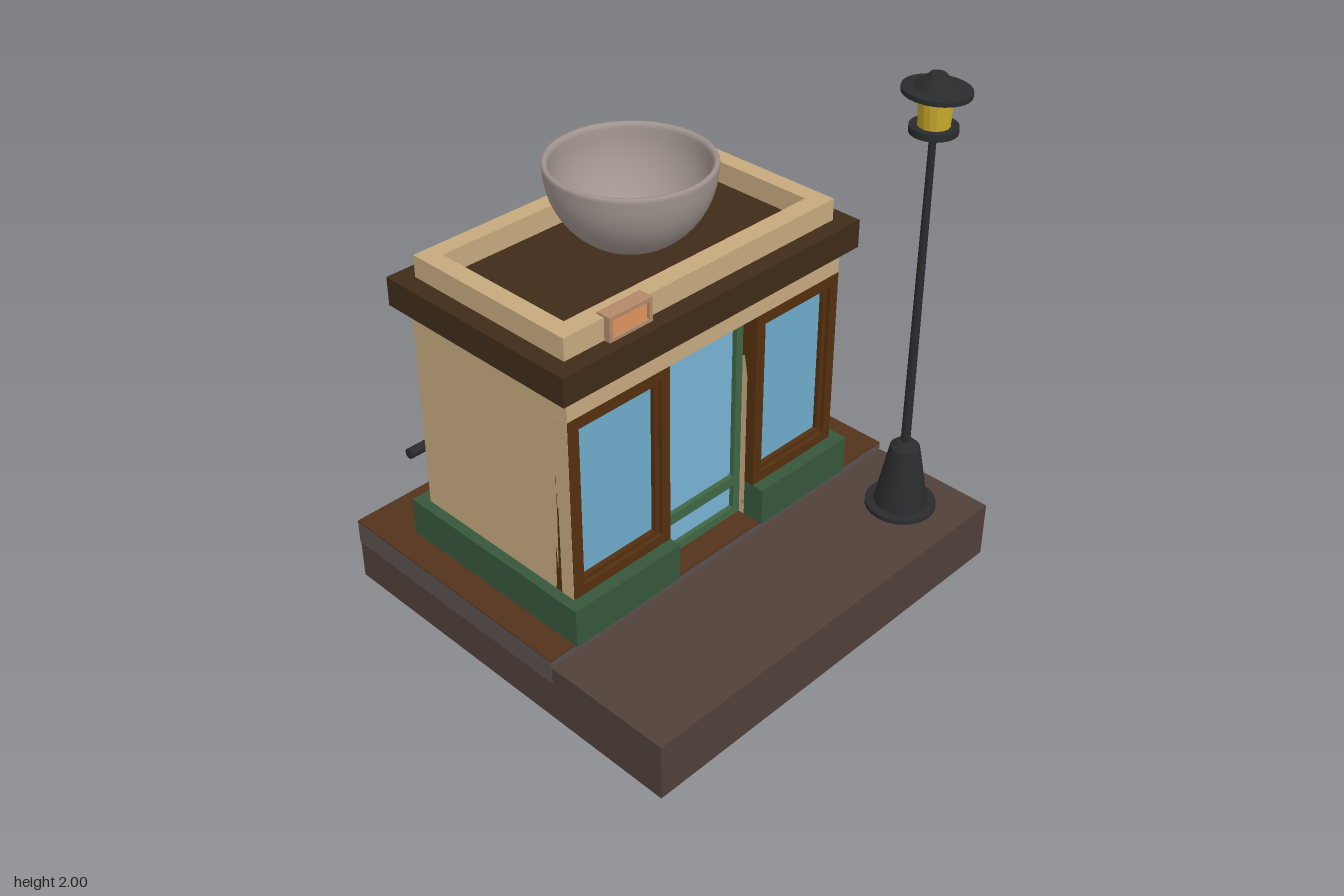
import * as THREE from 'three';

const mat = (color, extra = {}) => new THREE.MeshStandardMaterial({ color, ...extra });
const M = {
  base: mat(0x50403a), slab: mat(0x5a504e), earth: mat(0x54341c),
  wall: mat(0xc6aa7e), cornice: mat(0x3f2b18), plinth: mat(0x37573a),
  wood: mat(0x55300f), glass: mat(0x6fabca), doorGlass: mat(0x78b2d4), door: mat(0x3f6644),
  bowl: mat(0xa0948f, { side: THREE.DoubleSide }), signFrame: mat(0xb48a68), sign: mat(0xe0935c),
  iron: mat(0x2a2b2c), post: mat(0x3e4042), lamp: mat(0xc8a82a, { flatShading: true }),
};

export function createModel() {
  const root = new THREE.Group();

  const add = (name, geometry, material, parent = root) => {
    const mesh = new THREE.Mesh(geometry, material);
    mesh.name = name;
    parent.add(mesh);
    return mesh;
  };
  // Box given by its limits on each axis
  const box = (name, material, x0, x1, y0, y1, z0, z1, parent) => {
    const mesh = add(name, new THREE.BoxGeometry(x1 - x0, y1 - y0, z1 - z0), material, parent);
    mesh.position.set((x0 + x1) / 2, (y0 + y1) / 2, (z0 + z1) / 2);
    return mesh;
  };
  // Rectangular frame facing +z with a list of rectangular openings [x0, x1, y0, y1]
  const frame = (name, material, [x0, x1, y0, y1], holes, z0, z1, parent) => {
    const rect = (P, a, b, c, d) =>
      new P().moveTo(a, c).lineTo(b, c).lineTo(b, d).lineTo(a, d).closePath();
    const shape = rect(THREE.Shape, x0, x1, y0, y1);
    holes.forEach((h) => shape.holes.push(rect(THREE.Path, ...h)));
    const geometry = new THREE.ExtrudeGeometry(shape, { depth: z1 - z0, bevelEnabled: false });
    const mesh = add(name, geometry, material, parent);
    mesh.position.z = z0;
    return mesh;
  };
  // Lathe with hard edges: every profile point is doubled
  const turned = (name, material, points, segments, parent) => {
    const profile = [];
    points.forEach(([r, y], i) => {
      const p = new THREE.Vector2(r, y);
      profile.push(p);
      if (i > 0 && i < points.length - 1) profile.push(p.clone());
    });
    return add(name, new THREE.LatheGeometry(profile, segments), material, parent);
  };

  // Ground
  box('base', M.base, -0.878, 0.878, 0, 0.23, -0.798, 0.8);
  box('upperSlab', M.slab, -0.88, 0.88, 0.16, 0.256, -0.8, 0.278);
  box('yard', M.earth, -0.88, 0.88, 0.256, 0.261, -0.8, 0.278);

  // Building body with a recess for the door
  const X0 = -0.73, X1 = 0.597, D0 = -0.27, D1 = 0.163;
  box('walls', M.wall, X0, X1, 0.26, 1.25, -0.535, 0.14);
  box('frontBand', M.wall, X0, X1, 1.147, 1.25, 0.13, 0.24);
  [[X0, D0, -0.77, X0], [D1, X1, X1, 0.637]].forEach(([a, b]) =>
    box('frontWall', M.wall, a, b, 0.26, 1.15, 0.13, 0.2));
  box('leftCorner', M.wall, X1 - 0.008, X1 + 0.001, 0.4, 1.15, 0.18, 0.239);
  box('rightCorner', M.wall, X0 - 0.001, X0 + 0.008, 0.4, 1.15, 0.18, 0.239);

  // Plinth, open in front of the door
  box('plinthBack', M.plinth, -0.77, 0.637, 0.26, 0.415, -0.59, 0.13);
  box('plinthRight', M.plinth, -0.77, D0, 0.26, 0.415, 0.13, 0.29);
  box('plinthLeft', M.plinth, D1, 0.637, 0.26, 0.415, 0.13, 0.29);

  // Shop windows: outer frame, stepped inner frame and pane
  [[X0, D0, 'right'], [D1, X1, 'left']].forEach(([a, b, side]) => {
    const group = new THREE.Group();
    group.name = side + 'Window';
    root.add(group);
    const y0 = 0.415, y1 = 1.147;
    const inset = (d) => [a + d, b - d, y0 + d, y1 - d];
    frame('outerFrame', M.wood, inset(0), [inset(0.04)], 0.15, 0.241, group);
    frame('innerFrame', M.wood, inset(0.04), [inset(0.06)], 0.19, 0.226, group);
    const [p, q, r, s] = inset(0.05);
    box('pane', M.glass, p, q, r, s, 0.19, 0.208, group);
  });

  // Door
  frame('doorFrame', M.door, [D0, D1, 0.26, 1.147],
    [[-0.235, 0.13, 0.44, 1.117], [-0.235, 0.13, 0.295, 0.397]], 0.13, 0.175);
  box('doorPanes', M.doorGlass, -0.25, 0.145, 0.28, 1.13, 0.135, 0.155);

  // Cornice and roof parapet
  box('cornice', M.cornice, -0.78, 0.645, 1.25, 1.36, -0.592, 0.285);
  const parapet = frame('parapet', M.wall, [-0.712, 0.577, -0.217, 0.523],
    [[-0.642, 0.507, -0.143, 0.455]], 0, 0.085);
  parapet.rotation.x = -Math.PI / 2;
  parapet.position.y = 1.36;

  // Bowl on the roof
  const bowlProfile = [];
  for (let i = 0; i <= 14; i++) {
    const t = (i / 14) * Math.PI / 2;
    bowlProfile.push(new THREE.Vector2(0.3 * Math.sin(t), 1.68 - 0.31 * Math.cos(t)));
  }
  [[0.302, 1.69], [0.297, 1.698], [0.288, 1.698], [0.281, 1.69]].forEach(([r, y]) =>
    bowlProfile.push(new THREE.Vector2(r, y)));
  for (let i = 14; i >= 0; i--) {
    const t = (i / 14) * Math.PI / 2;
    bowlProfile.push(new THREE.Vector2(0.278 * Math.sin(t), 1.68 - 0.288 * Math.cos(t)));
  }
  add('bowl', new THREE.LatheGeometry(bowlProfile, 48), M.bowl).position.set(-0.057, 0, -0.155);

  // Small sign on the parapet
  frame('signFrame', M.signFrame, [-0.54, -0.35, 1.36, 1.453],
    [[-0.525, -0.365, 1.372, 1.438]], 0.185, 0.243);
  box('signPanel', M.sign, -0.53, -0.36, 1.365, 1.443, 0.188, 0.232);

  // Street lamp
  const lamp = new THREE.Group();
  lamp.name = 'streetLamp';
  lamp.position.set(0.66, 0, 0.555);
  root.add(lamp);
  turned('lampPost', M.iron, [[0, 0.229], [0.135, 0.229], [0.135, 0.247], [0.102, 0.25],
    [0.056, 0.5], [0.03, 0.525], [0.018, 0.525], [0.013, 1.755], [0.025, 1.76],
    [0.045, 1.79], [0.085, 1.79], [0.085, 1.815], [0, 1.815]], 24, lamp);
  const light = add('lampLight', new THREE.CylinderGeometry(0.056, 0.056, 0.125, 16), M.lamp, lamp);
  light.position.y = 1.872;
  // The light widens upwards across the front only
  const pos = light.geometry.attributes.position;
  for (let i = 0; i < pos.count; i++) if (pos.getY(i) > 0) pos.setX(i, pos.getX(i) * 1.25);
  light.geometry.computeVertexNormals();
  const cap = turned('lampCap', M.iron, [[0, 1.93], [0.125, 1.93], [0.125, 1.948], [0.085, 1.95],
    [0.04, 1.988], [0.03, 2.0], [0, 2.0]], 24, lamp);
  cap.scale.x = 0.88;

  // Iron fence along the back and the left side
  const fence = new THREE.Group();
  fence.name = 'fence';
  root.add(fence);
  const railY = 0.515, backZ = -0.707, sideX = 0.747;
  const rail = (name, length) =>
    add(name, new THREE.CylinderGeometry(0.021, 0.021, length, 10), M.iron, fence);
  const backRail = rail('backRail', 1.45);
  backRail.rotation.z = Math.PI / 2;
  backRail.position.set(0.04, railY, backZ);
  const sideRail = rail('sideRail', 0.805);
  sideRail.rotation.x = Math.PI / 2;
  sideRail.position.set(sideX, railY, -0.317);
  const spots = [-0.575, -0.36, -0.145, 0.09, 0.305, 0.52, sideX].map((x) => [x, backZ]);
  [-0.53, -0.355, -0.18, 0].forEach((z) => spots.push([sideX, z]));
  spots.forEach(([x, z]) => {
    turned('fencePost', M.post, [[0.011, 0.255], [0.011, 0.565], [0.016, 0.57], [0.025, 0.598],
      [0.013, 0.648], [0, 0.652]], 10, fence).position.set(x, 0, z);
  });

  return root;
}
